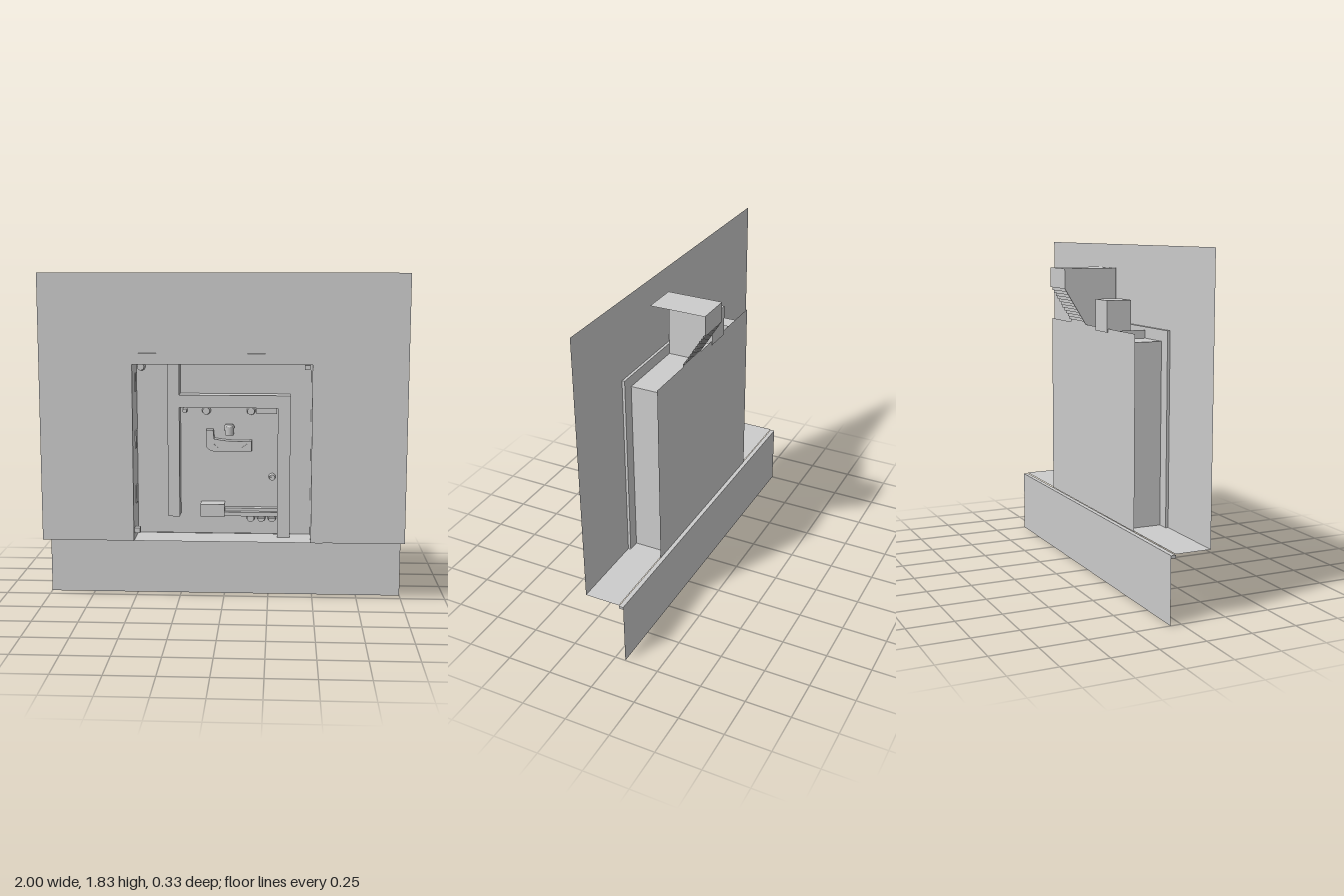
import * as THREE from 'three';

export function createModel() {
  const root = new THREE.Group();
  const grey = new THREE.MeshStandardMaterial({ color: 0xcccccc, side: THREE.DoubleSide });
  grey.name = 'plain grey';

  function add(name, geometry) {
    const mesh = new THREE.Mesh(geometry, grey);
    mesh.name = name;
    root.add(mesh);
    return mesh;
  }
  // Box from its bounds; equal bounds give a flat sheet
  function box(name, x0, x1, y0, y1, z0, z1) {
    const w = x1 - x0, h = y1 - y0, d = z1 - z0;
    let g;
    if (d === 0) g = new THREE.PlaneGeometry(w, h);
    else if (h === 0) g = new THREE.PlaneGeometry(w, d).rotateX(-Math.PI / 2);
    else if (w === 0) g = new THREE.PlaneGeometry(d, h).rotateY(Math.PI / 2);
    else g = new THREE.BoxGeometry(w, h, d);
    g.translate((x0 + x1) / 2, (y0 + y1) / 2, (z0 + z1) / 2);
    return add(name, g);
  }
  function polygon(points) {
    return new THREE.Shape(points.map(([x, y]) => new THREE.Vector2(x, y)));
  }

  // Front wall with a doorway that reaches its lower edge
  add('frontWall', new THREE.ShapeGeometry(polygon([
    [-1, 0.36], [-0.555, 0.36], [-0.555, 1.4], [0.55, 1.4],
    [0.55, 0.36], [1, 0.36], [1, 1.83], [-1, 1.83],
  ])).translate(0, 0, 0.16));

  // Floor ledge, its rear lip and the wall below
  box('floor', -1, 1, 0.36, 0.36, -0.035, 0.16);
  box('floorLip', -1, 1, 0.34, 0.355, -0.06, -0.035);
  box('lowerWall', -1, 1, 0, 0.34, -0.06, -0.06);

  // Trim around the doorway
  add('doorTrim', new THREE.ExtrudeGeometry(polygon([
    [-0.555, 0.36], [-0.49, 0.36], [-0.49, 1.34], [0.485, 1.34],
    [0.485, 0.36], [0.55, 0.36], [0.55, 1.4], [-0.555, 1.4],
  ]), { depth: 0.02, bevelEnabled: false }).translate(0, 0, 0.145));

  // Alcove shell
  box('backPanel', -0.555, 0.55, 0.36, 1.39, -0.04, -0.04);
  box('rightAlcoveWall', -0.49, -0.49, 0.36, 1.34, -0.04, 0.145);
  box('leftAlcoveWall', 0.485, 0.485, 0.36, 1.34, -0.04, 0.145);
  box('ceiling', -0.49, 0.485, 1.34, 1.34, -0.04, 0.145);
  box('ceilingRib', -0.31, -0.31, 1.34, 1.385, -0.04, 0.14);
  for (const [a, b] of [[-0.21, -0.1], [0.05, 0.13], [0.24, 0.3]])
    box('ceilingLight', a, b, 1.334, 1.34, 0.02, 0.06);
  for (const y of [0.55, 0.86, 1.18])
    box('wallPlate', -0.49, -0.484, y, y + 0.1, 0.0, 0.06);

  // Inner frame
  box('tallPost', -0.31, -0.245, 0.475, 1.34, -0.04, 0.05);
  box('crossBeam', -0.245, 0.37, 1.09, 1.16, -0.04, 0.05);
  box('shortPost', 0.3, 0.37, 0.36, 1.09, -0.04, 0.05);

  // Curved shelf with an upright end
  const shelf = new THREE.Shape();
  shelf.moveTo(-0.1, 0.87);
  shelf.quadraticCurveTo(-0.09, 0.845, -0.06, 0.84);
  shelf.lineTo(0.155, 0.84);
  shelf.lineTo(0.155, 0.9);
  shelf.quadraticCurveTo(0.05, 0.89, -0.055, 0.91);
  shelf.lineTo(-0.06, 0.96);
  shelf.lineTo(-0.1, 0.96);
  add('shelf', new THREE.ExtrudeGeometry(shelf, { depth: 0.05, bevelEnabled: false, curveSegments: 6 })
    .translate(0, 0, -0.04));
  for (const [x, turn] of [[-0.05, -0.7], [0.12, 0.6]]) {
    const handle = box('shelfHandle', -0.02, 0.02, -0.004, 0.004, 0.01, 0.016);
    handle.position.set(x, 0.872, 0);
    handle.rotation.z = turn;
  }
  add('canister', new THREE.CylinderGeometry(0.028, 0.024, 0.05, 16).translate(0.03, 0.955, -0.01));
  add('canisterLid', new THREE.CylinderGeometry(0.022, 0.028, 0.012, 16).translate(0.03, 0.984, -0.01));

  // Bench and low rail
  box('bench', -0.13, 0.005, 0.475, 0.545, -0.04, 0.05);
  box('railLower', 0.005, 0.3, 0.475, 0.498, -0.04, 0.03);
  box('railUpper', 0.005, 0.3, 0.498, 0.515, -0.04, 0.0);

  // Round knobs, lamps and small fittings
  const knobs = [
    [-0.465, 1.31, 0.025], [-0.22, 1.065, 0.015], [-0.1, 1.065, 0.025], [0.15, 1.065, 0.025],
    [0.27, 0.69, 0.02], [0.15, 0.455, 0.025], [0.21, 0.455, 0.025], [0.27, 0.455, 0.025],
  ];
  for (const [x, y, r] of knobs) {
    add('knob', new THREE.CylinderGeometry(r * 0.8, r, 0.035, 14).rotateX(Math.PI / 2).translate(x, y, -0.022));
    box('knobGrip', x - r * 0.7, x + r * 0.7, y - 0.003, y + 0.003, -0.005, 0.003);
  }
  box('wallBar', 0.18, 0.295, 1.05, 1.085, -0.04, -0.01);
  box('lowerFitting', -0.49, -0.46, 0.395, 0.425, 0.09, 0.13);
  box('upperFitting', 0.445, 0.475, 1.31, 1.335, 0.09, 0.13);

  // Box on top of the alcove
  box('topBox', -0.23, -0.08, 1.37, 1.54, -0.045, 0.095);

  // Rear duct, open on its left side, with a louvred slope
  const x0 = 0.06, x1 = 0.265;
  add('ductSide', new THREE.ShapeGeometry(polygon([
    [-0.145, 1.34], [0.04, 1.34], [0.04, 1.39], [0.165, 1.59], [0.165, 1.7], [-0.145, 1.7],
  ])).rotateY(Math.PI / 2).translate(x0, 0, 0));
  box('ductTop', x0, x1, 1.7, 1.7, -0.165, 0.145);
  box('ductBack', x0, x1, 1.59, 1.7, -0.165, -0.165);
  box('ductInnerPanel', x0, x0 + 0.01, 1.605, 1.698, -0.163, -0.125);
  const steps = 12;
  for (let i = 0; i < steps; i++) {
    const y = 1.39 + 0.2 * i / steps, z = -0.04 - 0.125 * i / steps;
    box('louvreRiser', x0, x1, y, y + 0.2 / steps, z, z);
    box('louvreTread', x0, x1, y + 0.2 / steps, y + 0.2 / steps, z - 0.125 / steps, z);
  }

  return root;
}
